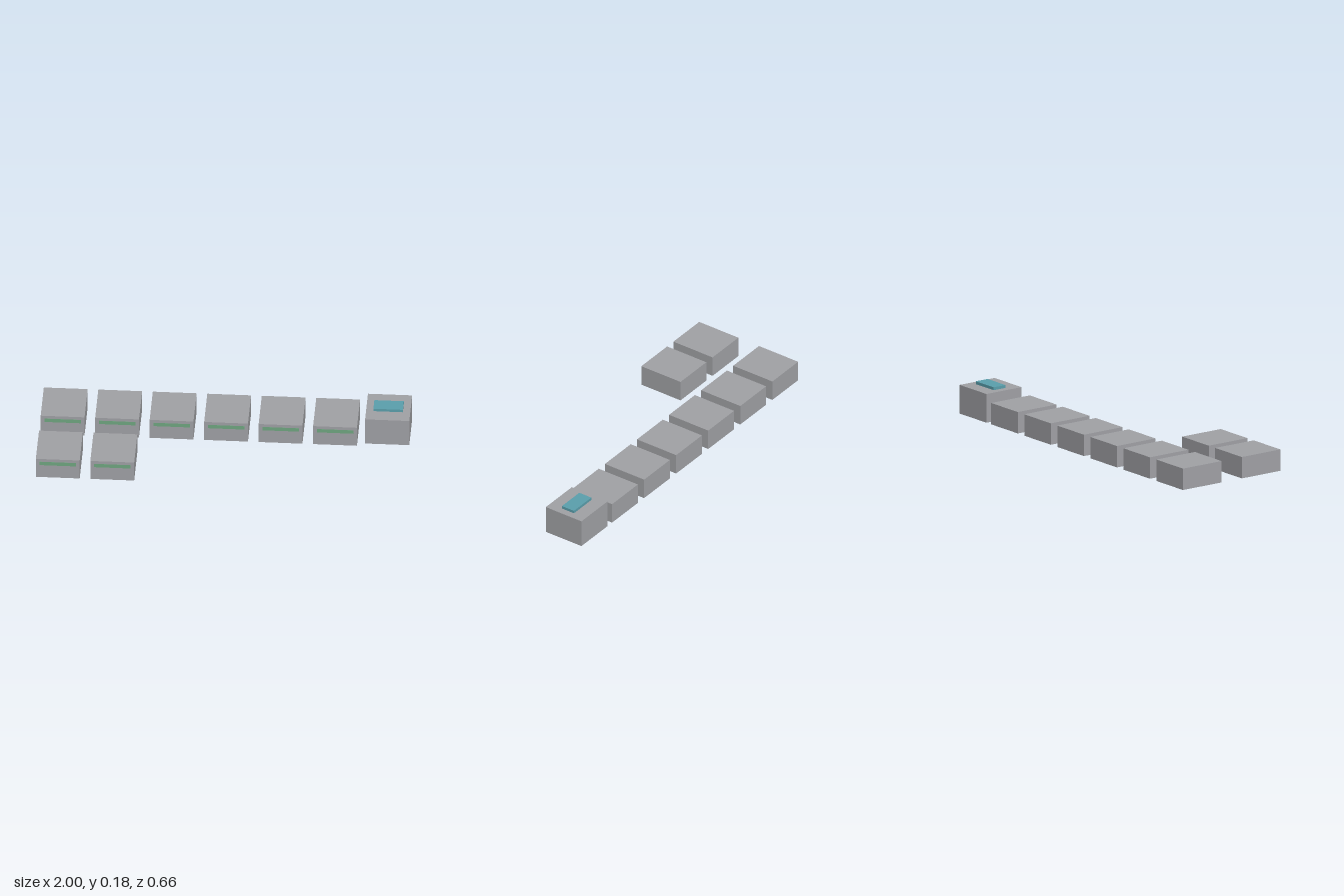
import * as THREE from 'three';

const housingGrey = new THREE.MeshStandardMaterial({ color: 0xa0a1a5, side: THREE.DoubleSide });
housingGrey.name = 'housing grey';
const stripeGreen = new THREE.MeshStandardMaterial({ color: 0x6fa580 });
stripeGreen.name = 'stripe green';
const panelTeal = new THREE.MeshStandardMaterial({ color: 0x5a9fac });
panelTeal.name = 'panel teal';

// Box without its bottom face, standing on y = 0
function openBox(w, h, d) {
  const geo = new THREE.BoxGeometry(w, h, d).translate(0, h / 2, 0);
  const index = Array.from(geo.index.array);
  index.splice(18, 6); // the -y side
  geo.setIndex(index);
  geo.clearGroups();
  return geo;
}

function addMesh(parent, name, geo, material, x, y, z) {
  const mesh = new THREE.Mesh(geo, material);
  mesh.name = name;
  mesh.position.set(x, y, z);
  parent.add(mesh);
}

export function createModel() {
  const model = new THREE.Group();
  model.name = 'cabinetRow';

  // Low cabinets: six in the back row, two in the front row
  const W = 0.238, H = 0.12, D = 0.262, PITCH = 0.2957;
  const housing = openBox(W, H, D);
  const stripe = new THREE.BoxGeometry(0.198, 0.022, 0.002);
  for (const [row, count, z] of [['back', 6, -0.2], ['front', 2, 0.2]]) {
    for (let i = 0; i < count; i++) {
      const cabinet = new THREE.Group();
      cabinet.name = `${row}Cabinet${i + 1}`;
      cabinet.position.set(-1 + W / 2 + i * PITCH, 0, z);
      addMesh(cabinet, 'housing', housing, housingGrey, 0, 0, 0);
      addMesh(cabinet, 'frontStripe', stripe, stripeGreen, 0, 0.091, D / 2);
      model.add(cabinet);
    }
  }

  // Taller end cabinet with a raised panel on top
  const end = new THREE.Group();
  end.name = 'endCabinet';
  end.position.set(0.879, 0, -0.212);
  addMesh(end, 'housing', openBox(0.24, 0.161, 0.238), housingGrey, 0, 0, 0);
  addMesh(end, 'topPanel', new THREE.BoxGeometry(0.16, 0.016, 0.08), panelTeal, 0, 0.169, 0);
  model.add(end);

  return model;
}
